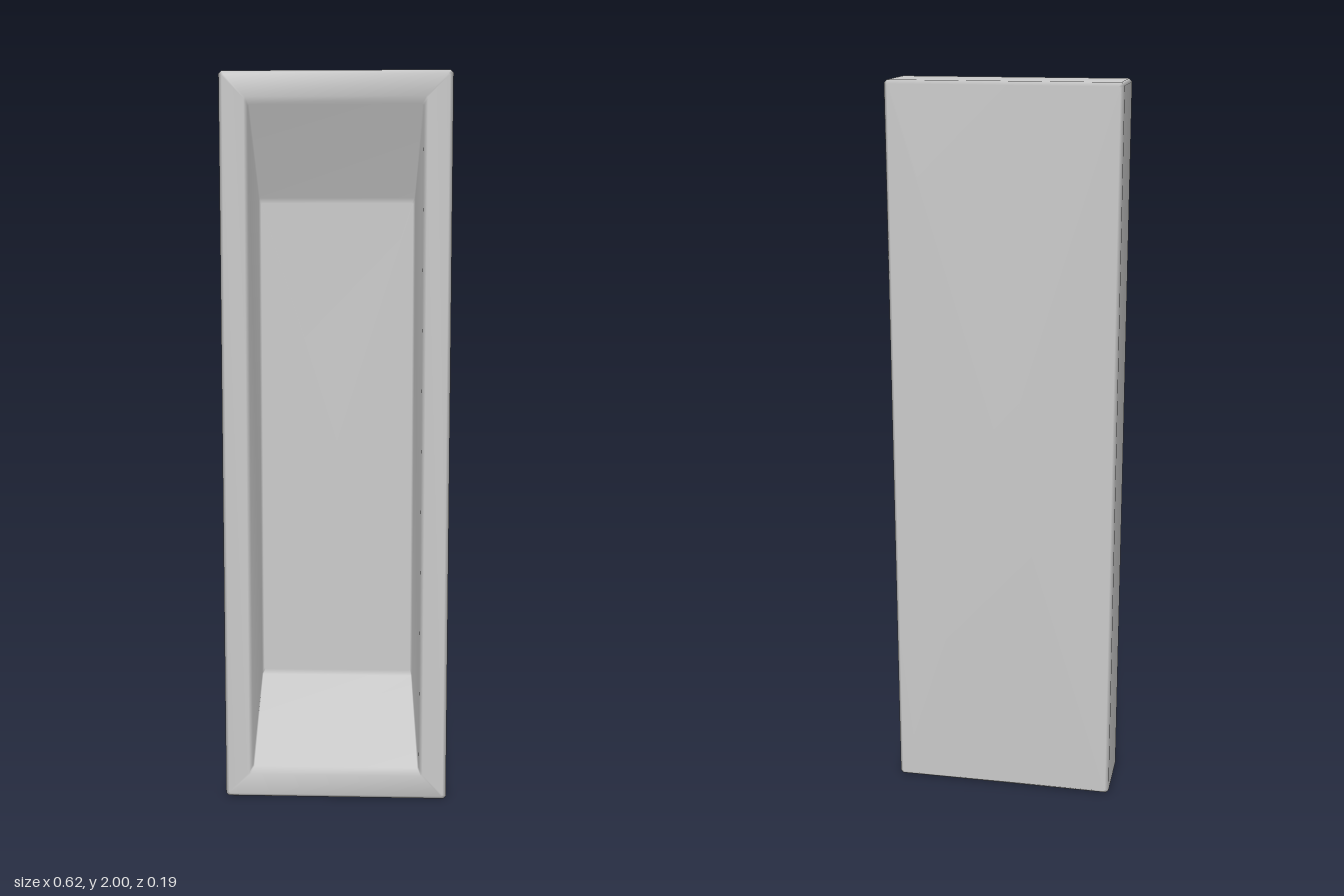
import * as THREE from 'three';

// Rectangle with clipped corners, counter-clockwise as seen from +z
function ring([hx, hy, z, c]) {
  return [
    [hx, -hy + c], [hx, hy - c], [hx - c, hy], [-hx + c, hy],
    [-hx, hy - c], [-hx, -hy + c], [-hx + c, -hy], [hx - c, -hy],
  ].map(([x, y]) => [x, y, z]);
}

// Joins the rings from back to front and caps both ends with a centre fan
function loft(sections) {
  const n = 8, last = sections.length - 1;
  const points = sections.flatMap(ring);
  const back = points.push([0, 0, sections[0][2]]) - 1;
  const front = points.push([0, 0, sections[last][2]]) - 1;
  const index = [];
  for (let i = 0; i < n; i++) {
    const j = (i + 1) % n;
    for (let s = 0; s < last; s++) {
      const a = s * n, b = a + n;
      index.push(a + i, a + j, b + j, a + i, b + j, b + i);
    }
    index.push(back, j, i, front, last * n + i, last * n + j);
  }
  const geometry = new THREE.BufferGeometry();
  geometry.setAttribute('position', new THREE.Float32BufferAttribute(points.flat(), 3));
  geometry.setIndex(index);
  geometry.computeVertexNormals();
  return geometry;
}

export function createModel() {
  const group = new THREE.Group();
  group.name = 'recessedPanel';

  // Half width, half height, z and corner cut of each section
  const sections = [
    [0.30, 0.99, -0.093, 0.004], // back face
    [0.31, 1.00, -0.083, 0.008], // back bevel
    [0.31, 1.00, 0.083, 0.008], // outer sides
    [0.30, 0.99, 0.093, 0.004], // front bevel
    [0.243, 0.932, 0.093, 0.004], // flat rim
    [0.233, 0.912, 0.084, 0.004], // softened opening edge
    [0.213, 0.67, -0.001, 0.003], // sloped recess walls
    [0.207, 0.655, -0.004, 0.003], // recess floor
  ];
  const panel = new THREE.Mesh(
    loft(sections),
    new THREE.MeshStandardMaterial({ color: 0xcccccc })
  );
  panel.name = 'panelWithRecess';
  panel.position.y = 1;
  group.add(panel);
  return group;
}
